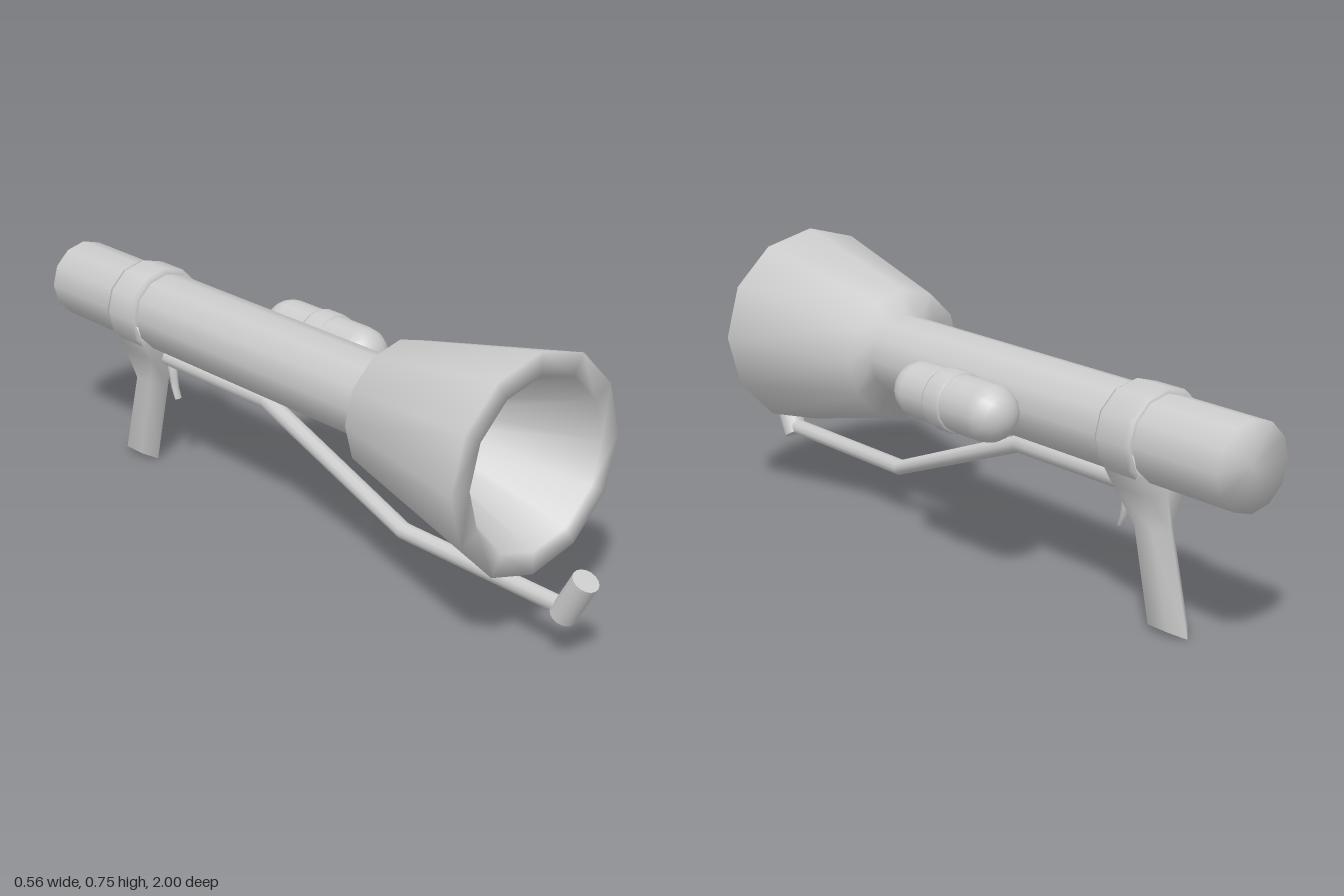
import * as THREE from 'three';

const AXIS_Y = 0.47;
const SIDES = 12;
const material = new THREE.MeshStandardMaterial({ color: 0xcccccc });

// Solid of revolution along z, from [radius, z] pairs
function lathe(profile, sides) {
  const points = profile.map(([r, z]) => new THREE.Vector2(r, z));
  return new THREE.LatheGeometry(points, sides).rotateX(Math.PI / 2);
}

// Skin a list of equal-sized rings of [x, y, z] and close both ends
function loft(rings) {
  const n = rings[0].length;
  const last = (rings.length - 1) * n;
  const positions = rings.flat(2);
  const index = [];
  for (const ring of [rings[0], rings[rings.length - 1]]) {
    for (let k = 0; k < 3; k++) positions.push(ring.reduce((s, p) => s + p[k], 0) / n);
  }
  const startCap = rings.length * n;
  for (let j = 0; j < n; j++) {
    const k = (j + 1) % n;
    for (let i = 0; i < last; i += n) {
      index.push(i + j, i + k, i + n + j, i + k, i + n + k, i + n + j);
    }
    index.push(startCap, k, j, startCap + 1, last + j, last + k);
  }
  const geometry = new THREE.BufferGeometry();
  geometry.setAttribute('position', new THREE.Float32BufferAttribute(positions, 3));
  geometry.setIndex(index);
  geometry.computeVertexNormals();
  return geometry;
}

function ring(sides, point) {
  return Array.from({ length: sides }, (_, i) => point((i / sides) * Math.PI * 2));
}

export function createModel() {
  const model = new THREE.Group();
  model.name = 'launcher';

  function add(name, geometry, x = 0, y = 0, z = 0) {
    const mesh = new THREE.Mesh(geometry, material);
    mesh.name = name;
    mesh.position.set(x, y, z);
    model.add(mesh);
    return mesh;
  }

  // Closed barrel flowing into the hollow flared bell
  add('barrelAndBell', lathe([
    [0, -1], [0.11, -1], [0.11, 0.34], [0.18, 0.34], [0.282, 0.805],
    [0.222, 0.805], [0.08, 0.42], [0.043, 0.36], [0, 0.36],
  ], SIDES), 0, AXIS_Y);

  // Collar around the barrel above the grip
  add('collar', lathe([
    [0.105, -0.72], [0.12, -0.72], [0.125, -0.705],
    [0.125, -0.61], [0.12, -0.6], [0.105, -0.6],
  ], SIDES), 0, AXIS_Y);

  // Six-sided raked grip widening into the collar:
  // [y, front z, back z, half width, lift of the side corners]
  const gripSections = [
    [0, -0.667, -0.805, 0.033, 0.015],
    [0.25, -0.617, -0.74, 0.034, 0],
    [0.34, -0.6, -0.725, 0.06, 0],
    [0.39, -0.598, -0.72, 0.088, 0],
    [0.45, -0.6, -0.72, 0.11, 0],
  ];
  add('grip', loft(gripSections.map(([y, front, back, half, lift]) => ring(6, (t) => {
    const s = Math.sin(t) / Math.sin(Math.PI / 3);
    // the upper sections become rectangular so they merge with the collar
    const depth = y > 0.3 ? Math.sign(Math.cos(t)) : Math.cos(t);
    return [half * s, y + lift * Math.abs(s), (front + back) / 2 + ((front - back) / 2) * depth];
  }))));

  // Curved trigger: [y, z, half thickness]
  const triggerSections = [
    [0.22, -0.562, 0.004], [0.25, -0.575, 0.009], [0.28, -0.581, 0.013], [0.33, -0.588, 0.018],
  ];
  add('trigger', loft(triggerSections.map(([y, z, r]) =>
    ring(6, (t) => [0.012 * Math.sin(t), y, z + r * Math.cos(t)]))));

  // Cranked support rod running forward below the bell: [y, z, half height]
  const rodSections = [
    [0.335, -0.64, 0.025], [0.335, -0.17, 0.025], [0.143, 0.365, 0.022], [0.143, 0.93, 0.022],
  ];
  add('supportRod', loft(rodSections.map(([y, z, r]) =>
    ring(10, (t) => [0.024 * Math.cos(t), y + r * Math.sin(t), z]))));

  // Tilted foot at the end of the rod
  const foot = add('foot', new THREE.CylinderGeometry(0.034, 0.034, 0.13, 16), 0, 0.178, 0.938);
  foot.rotation.x = 0.515;

  // Round-ended canister on the left side with its clamp
  const canister = new THREE.CapsuleGeometry(0.074, 0.277, 6, 16).rotateX(Math.PI / 2);
  add('canister', canister, 0.185, AXIS_Y, -0.143);
  add('canisterClamp', lathe([
    [0.07, -0.034], [0.077, -0.034], [0.08, -0.027],
    [0.08, 0.027], [0.077, 0.034], [0.07, 0.034],
  ], 16), 0.185, AXIS_Y, -0.138);

  return model;
}
